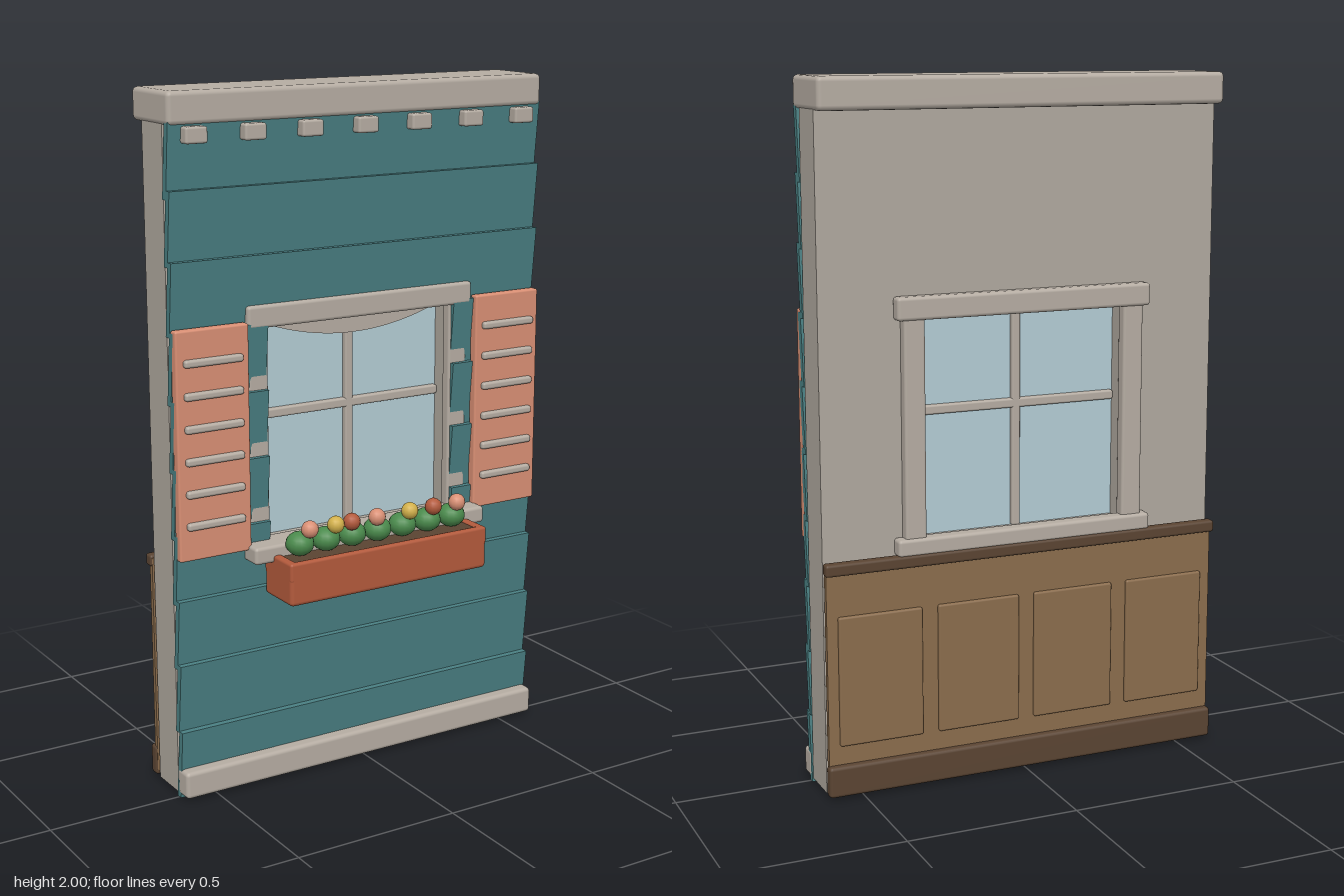
import * as THREE from 'three';
import { RoundedBoxGeometry } from 'three/addons/geometries/RoundedBoxGeometry.js';

const mat = (name, color) => {
  const m = new THREE.MeshStandardMaterial({ color });
  m.name = name;
  return m;
};

export function createModel() {
  const teal = mat('teal siding', 0x4a8083);
  const plaster = mat('plaster', 0xafa89e);
  const trim = mat('stone trim', 0xb5aca2);
  const salmon = mat('salmon', 0xd98f74);
  const glass = mat('glass', 0xb3ccd4);
  const wood = mat('wood', 0x8a6c4c);
  const darkWood = mat('dark wood', 0x5a4432);
  const clay = mat('terracotta', 0xb35a3c);
  const green = mat('leaf green', 0x4a8a4c);
  const yellow = mat('yellow', 0xd2b04a);

  const root = new THREE.Group();
  root.name = 'windowWall';
  const add = (name, geo, material, parent = root) => {
    const mesh = new THREE.Mesh(geo, material);
    mesh.name = name;
    parent.add(mesh);
    return mesh;
  };
  // Box given by its limits, rounded when r > 0
  const box = (name, material, x0, x1, y0, y1, z0, z1, r = 0, parent = root) => {
    const w = x1 - x0, h = y1 - y0, d = z1 - z0;
    const geo = r ? new RoundedBoxGeometry(w, h, d, 2, r) : new THREE.BoxGeometry(w, h, d);
    geo.translate((x0 + x1) / 2, (y0 + y1) / 2, (z0 + z1) / 2);
    return add(name, geo, material, parent);
  };
  const group = (name) => {
    const g = new THREE.Group();
    g.name = name;
    root.add(g);
    return g;
  };

  // Wall slab with the window opening
  const wall = new THREE.Shape([[-0.6, 0.015], [0.6, 0.015], [0.6, 1.95], [-0.6, 1.95]].map(p => new THREE.Vector2(...p)));
  wall.holes.push(new THREE.Path([[-0.31, 0.72], [-0.31, 1.355], [0.31, 1.355], [0.31, 0.72]].map(p => new THREE.Vector2(...p))));
  add('wall', new THREE.ExtrudeGeometry(wall, { depth: 0.12, bevelEnabled: false }).translate(0, 0, -0.13), plaster);

  // Slanted siding boards, leaning outward at the top and cut around the opening
  const siding = group('siding');
  const board = (x0, x1, y0, y1, top) => {
    const mesh = box('sidingBoard', teal, x0, x1, y0, y1, -0.01, 0.011, 0, siding);
    const p = mesh.geometry.attributes.position;
    for (let i = 0; i < p.count; i++) p.setZ(i, p.getZ(i) + 0.019 + (p.getY(i) - top) * 0.1);
    mesh.geometry.computeVertexNormals();
  };
  for (const top of [1.92, 1.74, 1.55, 1.36, 1.17, 0.98, 0.79, 0.6, 0.41, 0.21]) {
    const low = Math.max(top - 0.205, 0.005);
    if (top > 0.72 && top < 1.4) {
      board(-0.603, -0.31, low, top, top);
      board(0.31, 0.603, low, top, top);
      if (low < 0.72) board(-0.31, 0.31, low, 0.72, top);
    } else board(-0.603, 0.603, low, top, top);
  }

  // Cornice, dentils and plinth
  box('cornice', trim, -0.605, 0.605, 1.91, 2, -0.18, 0.035, 0.014);
  for (let i = 0; i < 7; i++) {
    const x = (i - 3) * 0.177;
    box('dentil', trim, x - 0.033, x + 0.033, 1.863, 1.908, 0.005, 0.057, 0.007);
  }
  box('plinth', trim, -0.605, 0.605, 0.015, 0.095, -0.005, 0.055, 0.012);

  // Front and back casings
  const casing = group('casing');
  box('frontHeader', trim, -0.373, 0.373, 1.345, 1.41, -0.02, 0.03, 0.01, casing);
  box('frontSill', trim, -0.39, 0.39, 0.685, 0.735, -0.02, 0.085, 0.01, casing);
  box('backHeader', trim, -0.385, 0.385, 1.345, 1.41, -0.168, -0.125, 0.01, casing);
  box('backSill', trim, -0.39, 0.39, 0.685, 0.735, -0.172, -0.125, 0.01, casing);
  for (const s of [-1, 1]) {
    const a = s < 0 ? -0.365 : 0.303, b = a + 0.062;
    box('frontJamb', trim, a, b, 0.72, 1.36, -0.02, 0.015, 0.008, casing);
    box('backJamb', trim, a, b, 0.72, 1.36, -0.162, -0.125, 0.008, casing);
  }

  // Window pane, glazing bars and sagging valance
  box('pane', glass, -0.31, 0.31, 0.72, 1.355, -0.075, -0.067);
  box('verticalBar', trim, -0.013, 0.013, 0.72, 1.355, -0.09, -0.05, 0.006);
  box('horizontalBar', trim, -0.308, 0.308, 1.065, 1.092, -0.09, -0.05, 0.006);
  const valance = new THREE.Shape();
  valance.moveTo(0.308, 1.352);
  valance.lineTo(-0.308, 1.352);
  valance.quadraticCurveTo(0, 1.228, 0.308, 1.352);
  add('valance', new THREE.ExtrudeGeometry(valance, { depth: 0.015, bevelEnabled: false, curveSegments: 20 }).translate(0, 0, -0.045), trim);

  // Shutters with six slats each
  for (const s of [-1, 1]) {
    const shutter = group(s > 0 ? 'leftShutter' : 'rightShutter');
    const x = s * 0.491;
    box('shutterPanel', salmon, x - 0.112, x + 0.112, 0.72, 1.368, 0.014, 0.044, 0.006, shutter);
    for (let i = 0; i < 6; i++) {
      const y = 0.82 + i * 0.0915;
      box('slat', trim, x - 0.09, x + 0.09, y - 0.011, y + 0.011, 0.036, 0.058, 0.008, shutter);
    }
  }

  // Flower box with soil, leaves and blossoms
  const planter = group('planter');
  box('planterBase', clay, -0.332, 0.332, 0.58, 0.69, 0.03, 0.18, 0.012, planter);
  box('planterFront', clay, -0.332, 0.332, 0.65, 0.706, 0.158, 0.18, 0.008, planter);
  box('planterBack', clay, -0.332, 0.332, 0.65, 0.706, 0.03, 0.052, 0.008, planter);
  for (const s of [-1, 1]) {
    const x = s * 0.319;
    box('planterEnd', clay, x - 0.013, x + 0.013, 0.65, 0.706, 0.03, 0.18, 0.008, planter);
  }
  box('soil', darkWood, -0.306, 0.306, 0.68, 0.7, 0.05, 0.16, 0, planter);
  for (let i = 0; i < 7; i++) {
    const leaf = add('leafClump', new THREE.SphereGeometry(0.041, 16, 12), green, planter);
    leaf.scale.y = 0.85;
    leaf.position.set((i - 3) * 0.086, 0.735, 0.102);
  }
  const blossoms = [[-0.24, salmon], [-0.155, yellow], [-0.102, clay], [-0.017, salmon], [0.095, yellow], [0.177, clay], [0.26, salmon]];
  for (const [x, m] of blossoms)
    add('blossom', new THREE.SphereGeometry(0.025, 14, 10), m, planter).position.set(x, 0.78, 0.128);

  // Wainscot on the back
  const wainscot = group('wainscot');
  box('wainscotBoard', wood, -0.6, 0.6, 0.03, 0.68, -0.158, -0.143, 0, wainscot);
  box('topRail', darkWood, -0.605, 0.605, 0.655, 0.69, -0.176, -0.143, 0.008, wainscot);
  box('baseboard', darkWood, -0.605, 0.605, 0.015, 0.105, -0.178, -0.143, 0.01, wainscot);
  for (let i = 0; i < 4; i++) {
    const x = (i - 1.5) * 0.296;
    box('raisedPanel', wood, x - 0.124, x + 0.124, 0.16, 0.535, -0.168, -0.15, 0.006, wainscot);
  }

  return root;
}
